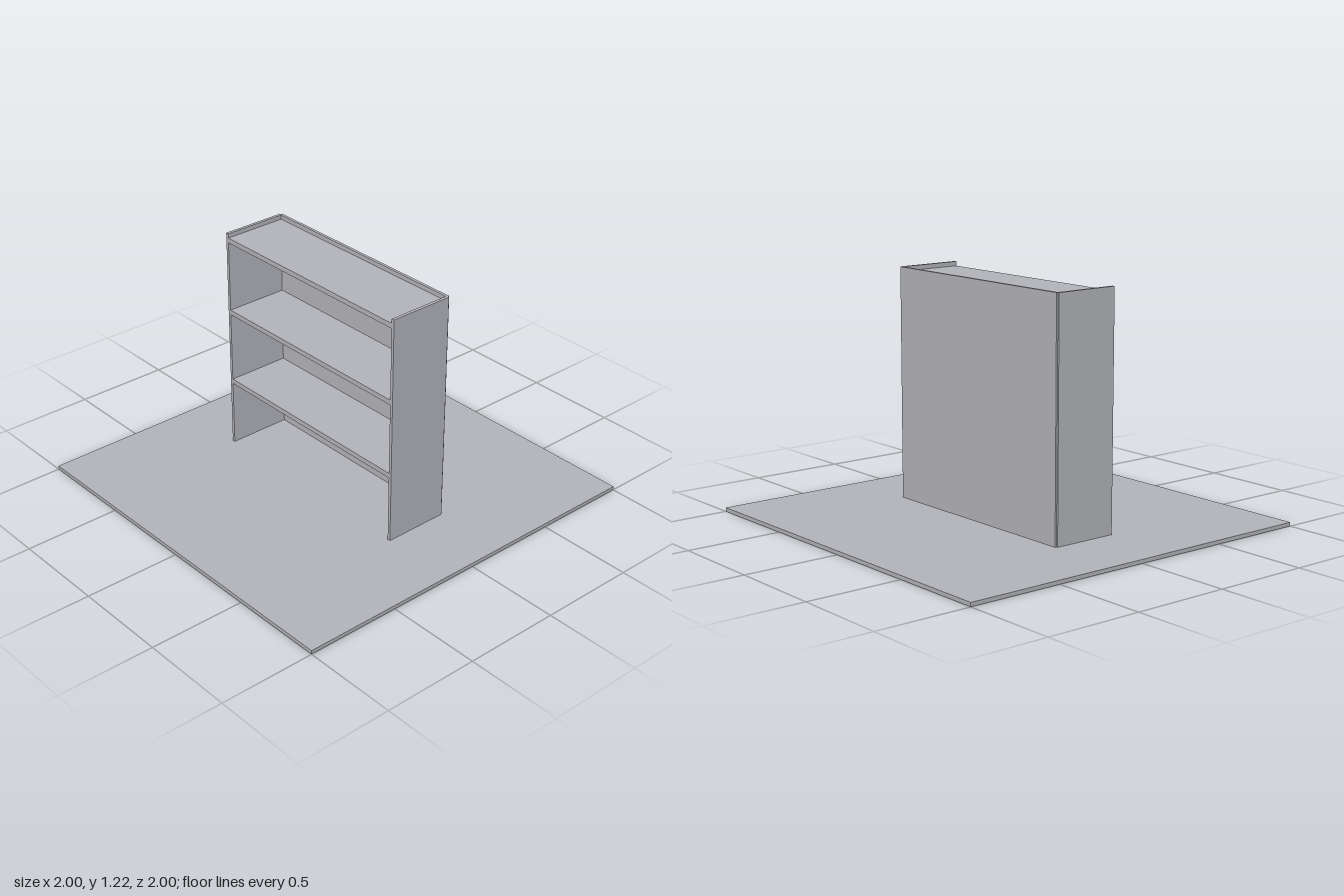
import * as THREE from 'three';

export function createModel() {
  const model = new THREE.Group();
  model.name = 'bookcaseOnFloor';

  const grey = new THREE.MeshStandardMaterial({ color: 0xb4b5bb });
  grey.name = 'plain grey';

  // Box given by its minimum and maximum corners
  function panel(name, [x0, y0, z0], [x1, y1, z1]) {
    const mesh = new THREE.Mesh(new THREE.BoxGeometry(x1 - x0, y1 - y0, z1 - z0), grey);
    mesh.position.set((x0 + x1) / 2, (y0 + y1) / 2, (z0 + z1) / 2);
    mesh.name = name;
    model.add(mesh);
  }

  const floorTop = 0.02, top = 1.22;
  const outer = 0.608, inner = 0.592;
  const front = 0.17, sideBack = -0.173, panelFront = -0.167, panelBack = -0.182;

  panel('floor', [-1, 0, -1], [1, floorTop, 1]);

  // Upright sides
  panel('rightSide', [-outer, floorTop, sideBack], [-inner, top, front]);
  panel('leftSide', [inner, floorTop, sideBack], [outer, top, front]);

  // Back panel, standing slightly proud of the sides
  panel('backPanel', [-0.6, floorTop, panelBack], [0.6, top, panelFront]);

  // Evenly spaced shelves, the highest just below the rim
  for (let i = 0; i < 3; i++) {
    const y = 0.371 + i * 0.4;
    panel(`shelf${i + 1}`, [-inner, y, panelFront], [inner, y + 0.026, front]);
  }

  return model;
}
